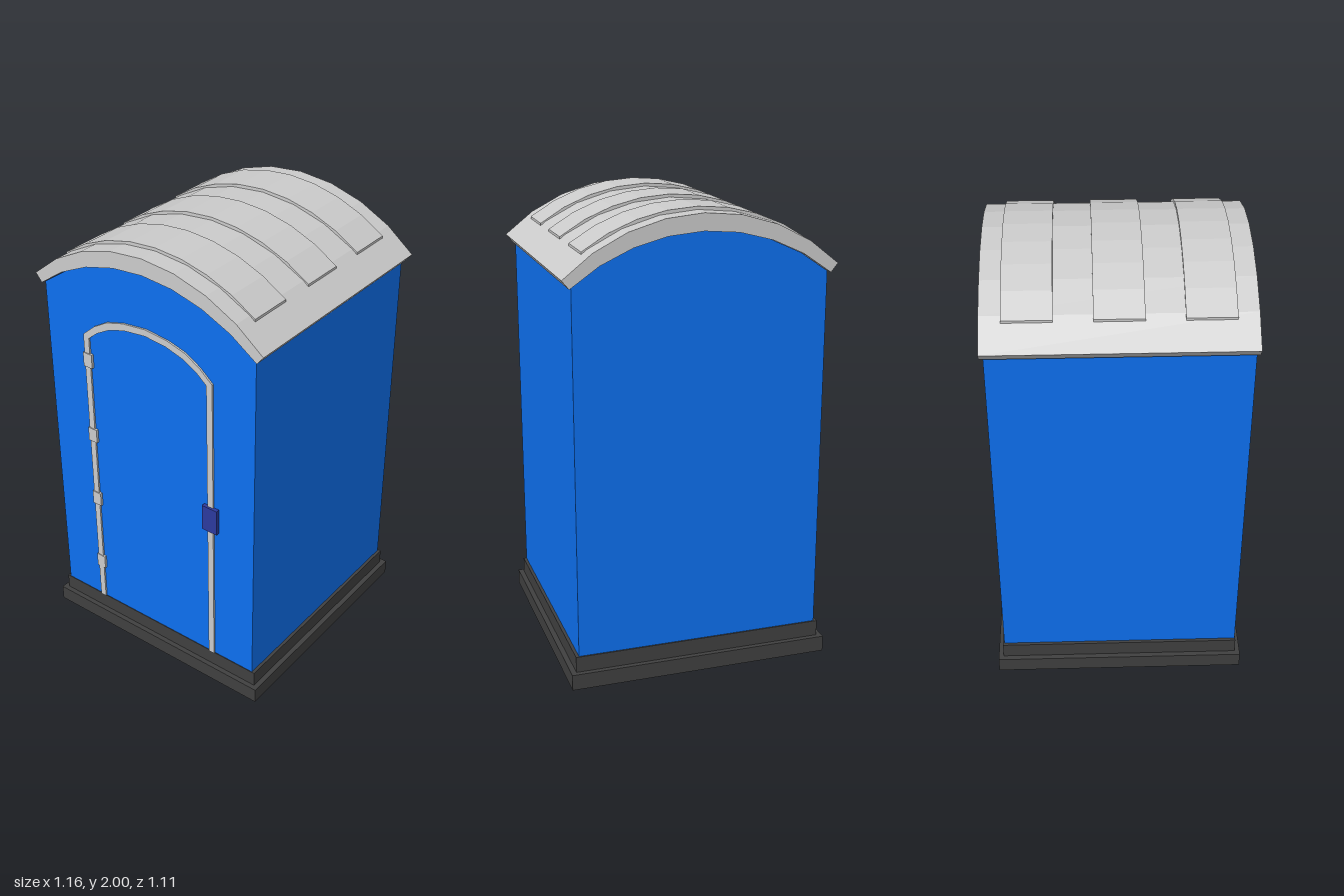
import * as THREE from 'three';

const material = (color, side = THREE.FrontSide) =>
  new THREE.MeshStandardMaterial({ color, side, flatShading: true });

// Points of a faceted arch from +halfWidth to -halfWidth, rising to topY over endY
function arch(halfWidth, endY, topY, segments = 8) {
  const rise = topY - endY;
  const radius = (halfWidth * halfWidth + rise * rise) / (2 * rise);
  const limit = Math.asin(halfWidth / radius);
  return Array.from({ length: segments + 1 }, (_, i) => {
    const a = limit * (1 - (2 * i) / segments);
    return new THREE.Vector2(radius * Math.sin(a), topY - radius + radius * Math.cos(a));
  });
}

// Front profile pushed from z0 to z1
function slab(name, points, z0, z1, mat) {
  const geometry = new THREE.ExtrudeGeometry(new THREE.Shape(points), {
    depth: z1 - z0, bevelEnabled: false,
  });
  geometry.translate(0, 0, z0);
  const mesh = new THREE.Mesh(geometry, mat);
  mesh.name = name;
  return mesh;
}

function box(name, w, h, d, x, y, z, mat) {
  const mesh = new THREE.Mesh(new THREE.BoxGeometry(w, h, d), mat);
  mesh.position.set(x, y, z);
  mesh.name = name;
  return mesh;
}

export function createModel() {
  const group = new THREE.Group();
  group.name = 'portableCabin';
  const blue = material(0x0d70f0);
  const grey = material(0xcccccc);
  const dark = material(0x404040, THREE.DoubleSide);
  const navy = material(0x2c3a9e);
  const v = (x, y) => new THREE.Vector2(x, y);

  // Stepped base skirt, open underneath
  const skirt = [[0.575, 0], [0.575, 0.07], [0.552, 0.07], [0.552, 0.14], [0.53, 0.14]]
    .map(([r, y]) => v(r * Math.SQRT2, y));
  const base = new THREE.Mesh(new THREE.LatheGeometry(skirt, 4, Math.PI / 4), dark);
  base.scale.z = 0.962;
  base.name = 'base';
  group.add(base);

  // Cabin body with arched top
  group.add(slab('body', [v(-0.538, 0.138), v(0.538, 0.138), ...arch(0.538, 1.722, 1.915)],
    -0.525, 0.528, blue));

  // Curved roof shell
  group.add(slab('roof', [...arch(0.578, 1.755, 1.987), ...arch(0.548, 1.718, 1.915).reverse()],
    -0.54, 0.54, grey));

  // Three raised roof ribs
  for (const z of [-0.355, 0, 0.355]) {
    const outer = arch(0.477, 1.845, 2);
    const inner = outer.map((p) => v(p.x, p.y - 0.04)).reverse();
    group.add(slab('roofRib', [...outer, ...inner], z - 0.1, z + 0.1, grey));
  }

  // Door trim: a strip up both sides and over the arch
  const mirrored = (half) => [...half, ...half.slice(0, -1).reverse().map((p) => v(-p.x, p.y))];
  const trimOuter = mirrored([v(0.335, 0.14), v(0.335, 1.545), v(0.275, 1.597), v(0.203, 1.64),
    v(0.115, 1.665), v(0, 1.677)]);
  const trimInner = mirrored([v(0.306, 0.14), v(0.306, 1.532), v(0.258, 1.572), v(0.19, 1.61),
    v(0.108, 1.635), v(0, 1.647)]);
  group.add(slab('doorTrim', [...trimOuter, ...trimInner.reverse()], 0.52, 0.536, grey));

  // Hinges
  for (const y of [0.35, 0.71, 1.05, 1.425]) {
    group.add(box('hinge', 0.046, 0.066, 0.02, -0.317, y, 0.53, grey));
  }

  // Latch
  group.add(box('latch', 0.076, 0.122, 0.025, 0.322, 0.887, 0.533, navy));

  return group;
}
